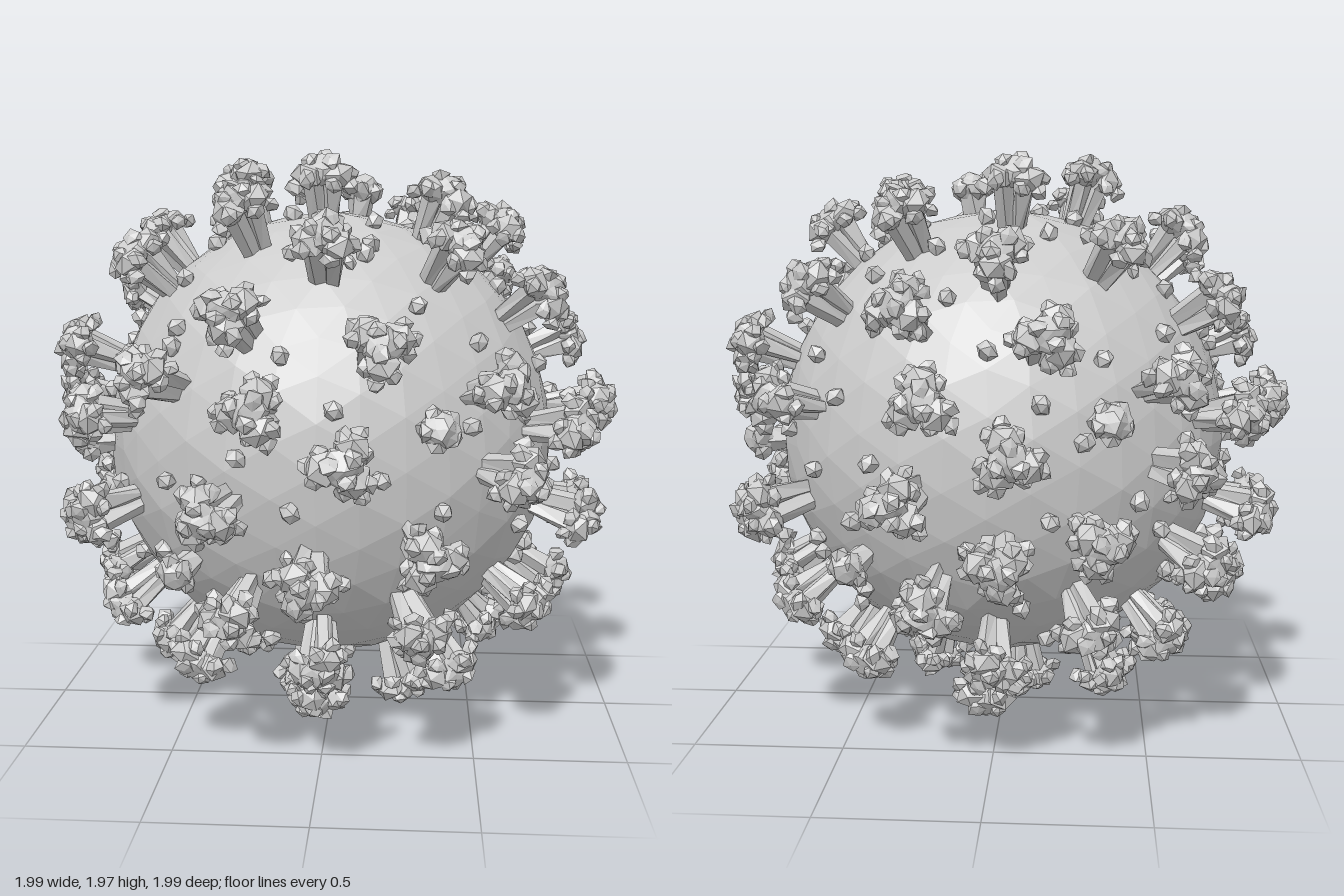
import * as THREE from 'three';
import { mergeGeometries } from 'three/addons/utils/BufferGeometryUtils.js';

const V = (x, y, z) => new THREE.Vector3(x, y, z);
const rad = THREE.MathUtils.degToRad;
const material = new THREE.MeshStandardMaterial({ color: 0xcccccc, flatShading: true });
const CENTRE_Y = 0.985, BODY_R = 0.768, GOLDEN = Math.PI * (3 - Math.sqrt(5));

// Main spikes: offsets on a disc facing azimuth az, elevation el
const charts = [
  { az: 0, el: 0, spikes: [[-0.26, 0.48], [0.2, 0.39], [-0.18, 0.21], [0.09, 0.06], [-0.32, -0.11], [-0.53, 0.29],
    [-0.02, -0.32], [0.35, -0.24], [-0.26, -0.46], [0.32, -0.52], [0.01, -0.63]] },
  { az: 90, el: 0, spikes: [[-0.31, 0.52], [0.24, 0.33], [-0.07, 0.13], [-0.46, 0.1], [-0.29, -0.23], [0.15, -0.29],
    [0.54, -0.18], [-0.02, -0.51], [0.32, -0.55], [0.61, 0.18]] },
  { az: 0, el: 90, spikes: [[-0.06, 0.32], [0.3, 0.43], [-0.3, 0.02], [0.39, -0.18], [-0.01, -0.27], [-0.27, -0.4],
    [-0.4, 0.51], [-0.61, 0.06], [0.59, 0.02], [0.43, -0.48], [0.02, -0.62], [-0.02, 0.68]] },
  { az: 145, el: -28, spikes: [[-0.18, 0.27], [0.29, 0.33], [0.3, -0.03], [-0.29, -0.15], [-0.07, -0.32],
    [0.38, -0.33], [-0.37, -0.45], [0.18, -0.61], [0.54, 0.08]] },
  { az: 215, el: 25, spikes: [[-0.34, 0.37], [0.03, 0.32], [0.41, 0.15], [-0.32, 0.03], [0.08, -0.14],
    [-0.47, -0.29], [0.38, -0.24], [0.12, -0.41], [-0.2, -0.57], [0.46, 0.5]] },
];
const buds = [V(0.37, 0.14, 0.75), V(-0.45, -0.35, 0.63), V(0.81, 0, -0.25), V(0.11, 0.84, -0.01)];

// Direction of a chart point on the sphere of spike caps
function direction({ az, el }, [u, v]) {
  const d = V(u, v, Math.sqrt(0.865 - u * u - v * v));
  return d.applyAxisAngle(V(1, 0, 0), -rad(el)).applyAxisAngle(V(0, 1, 0), rad(az)).normalize();
}

// Evenly spread directions
function spread(count) {
  return Array.from({ length: count }, (_, i) => {
    const y = 1 - 2 * (i + 0.5) / count, r = Math.sqrt(1 - y * y);
    return V(r * Math.cos(i * GOLDEN), y, r * Math.sin(i * GOLDEN));
  });
}

// The same directions followed by their half-turn copies
const withHalfTurn = (list) => [...list, ...list.map((d) => V(-d.x, d.y, -d.z))];

// Irregular warp driven by position, so shared corners stay joined
function crumple(geo, amount, f) {
  const p = geo.attributes.position;
  for (let i = 0; i < p.count; i++) {
    const x = p.getX(i), y = p.getY(i), z = p.getZ(i);
    p.setXYZ(i, x + amount * Math.sin(f * (y + 1.7 * z) + 1),
      y + amount * Math.sin(f * (z - 1.3 * x) + 2), z + amount * Math.sin(f * (x + 1.5 * y)));
  }
  geo.computeVertexNormals();
  return geo;
}

function lump(r, x, y, z, squash = 1, detail = 0, turn = 0) {
  return new THREE.IcosahedronGeometry(r, detail).rotateX(turn * 1.3).scale(1, squash, 1).translate(x, y, z);
}

// Tapered pillar that leans outward from the spike axis
function pillar(r0, r1, y0, y1, off0, off1) {
  const g = new THREE.CylinderGeometry(r1, r0, y1 - y0, 5, 1).toNonIndexed();
  g.rotateZ(-Math.atan2(off1 - off0, y1 - y0));
  return g.translate((off0 + off1) / 2, (y0 + y1) / 2, 0);
}

// Three-lobed spike, axis along y, measured from the body centre
function spikeGeometry() {
  const parts = [lump(0.062, 0, 0.942, 0, 0.75, 1)];
  for (let k = 0; k < 3; k++) {
    const lobe = [
      pillar(0.024, 0.036, 0.735, 0.92, 0.02, 0.038),
      lump(0.058, 0.054, 0.93, 0, 0.8, 0, k),
      lump(0.03, 0.04, 0.973, 0.012, 0.9, 0, k + 1),
      lump(0.027, 0.104, 0.9, 0.01, 1, 0, k),
      lump(0.03, 0.082, 0.932, -0.03, 1, 0, k + 2),
      lump(0.03, 0.06, 0.91, 0.046, 0.9, 0, k + 3),
    ];
    parts.push(...lobe.map((g) => g.rotateY(k * Math.PI * 2 / 3)));
  }
  return crumple(mergeGeometries(parts), 0.006, 60);
}

// Shorter, rounder bud
function budGeometry() {
  const parts = [lump(0.058, 0, 0.85, 0, 0.85, 1), pillar(0.036, 0.05, 0.73, 0.84, 0, 0)];
  for (let k = 0; k < 5; k++) {
    parts.push(lump(0.034, 0.044, 0.842 + 0.008 * (k % 2), 0, 1, 0, k).rotateY(k * Math.PI * 0.4));
  }
  return crumple(mergeGeometries(parts), 0.006, 65);
}

export function createModel() {
  const model = new THREE.Group();
  model.name = 'spikedSphere';
  const shell = new THREE.Group();
  shell.name = 'shell';
  shell.position.y = CENTRE_Y;
  model.add(shell);

  // Faceted body
  const body = new THREE.Mesh(crumple(new THREE.IcosahedronGeometry(BODY_R, 5), 0.004, 13), material);
  body.name = 'body';
  shell.add(body);

  // Places a part unless another one is closer than the gap angle
  const placed = [];
  function attach(name, geometry, d, gap) {
    if (placed.some((q) => q.angleTo(d) < gap)) return;
    placed.push(d);
    const mesh = new THREE.Mesh(geometry, material);
    mesh.name = name;
    mesh.quaternion.setFromUnitVectors(V(0, 1, 0), d);
    mesh.rotateY(placed.length * GOLDEN);
    shell.add(mesh);
  }

  // Buds and main spikes, then spikes over the remaining bare areas
  const spike = spikeGeometry(), bud = budGeometry();
  for (const d of withHalfTurn(buds)) attach('bud', bud, d.normalize(), 0.27);
  const main = charts.flatMap((c) => c.spikes.map((p) => direction(c, p)));
  for (const d of withHalfTurn(main)) attach('spike', spike, d, 0.26);
  for (const d of spread(600)) attach('spike', spike, d, 0.34);

  // Small grains on the surface between the spikes, mostly in pairs
  const grain = crumple(lump(0.033, 0, BODY_R + 0.01, 0, 1.1), 0.004, 80);
  spread(130).forEach((d, i) => {
    attach('grain', grain, d, 0.16);
    if (i % 3) attach('grain', grain, d.clone().add(V(0.03, 0.06, -0.05)).normalize(), 0.075);
  });
  return model;
}
